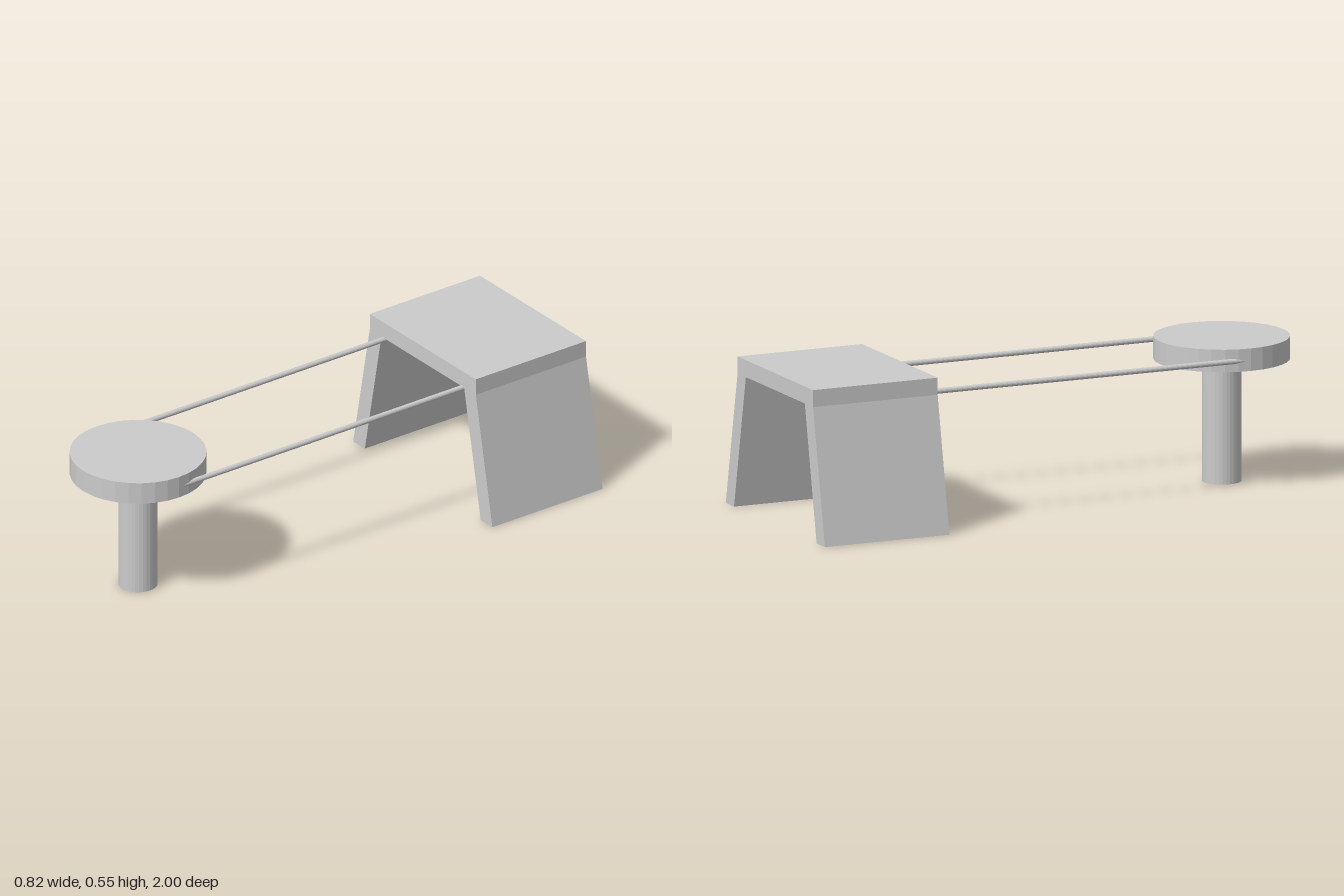
import * as THREE from 'three';

export function createModel() {
  const group = new THREE.Group();
  const material = new THREE.MeshStandardMaterial({ color: 0xcccccc, flatShading: true });

  const add = (name, geometry, x, y, z) => {
    const mesh = new THREE.Mesh(geometry, material);
    mesh.name = name;
    mesh.position.set(x, y, z);
    group.add(mesh);
    return mesh;
  };

  // Bench: flat top with two splayed slab legs, extruded along z
  const half = [[0.343, 0], [0.412, 0], [0.314, 0.49], [0.314, 0.552]];
  const outline = [
    ...half,
    ...half.map(([x, y]) => [-x, y]).reverse(),
    [-0.245, 0.49], [0.245, 0.49],
  ];
  const profile = new THREE.Shape(outline.map(([x, y]) => new THREE.Vector2(x, y)));
  add('bench', new THREE.ExtrudeGeometry(profile, { depth: 0.49, bevelEnabled: false }), 0, 0, -1);

  // Round seat on a single post
  const seatZ = 0.756;
  add('seat', new THREE.CylinderGeometry(0.244, 0.244, 0.082, 32), 0, 0.487, seatZ);
  add('seatPost', new THREE.CylinderGeometry(0.07, 0.07, 0.446, 32), 0, 0.223, seatZ);

  // Two thin rods joining the seat to the underside of the bench
  const rodStart = -0.95, rodEnd = seatZ;
  for (const side of [-1, 1]) {
    const rod = new THREE.CylinderGeometry(0.01, 0.01, rodEnd - rodStart, 16).rotateX(Math.PI / 2);
    add(side > 0 ? 'leftRod' : 'rightRod', rod, side * 0.232, 0.484, (rodStart + rodEnd) / 2);
  }

  return group;
}
